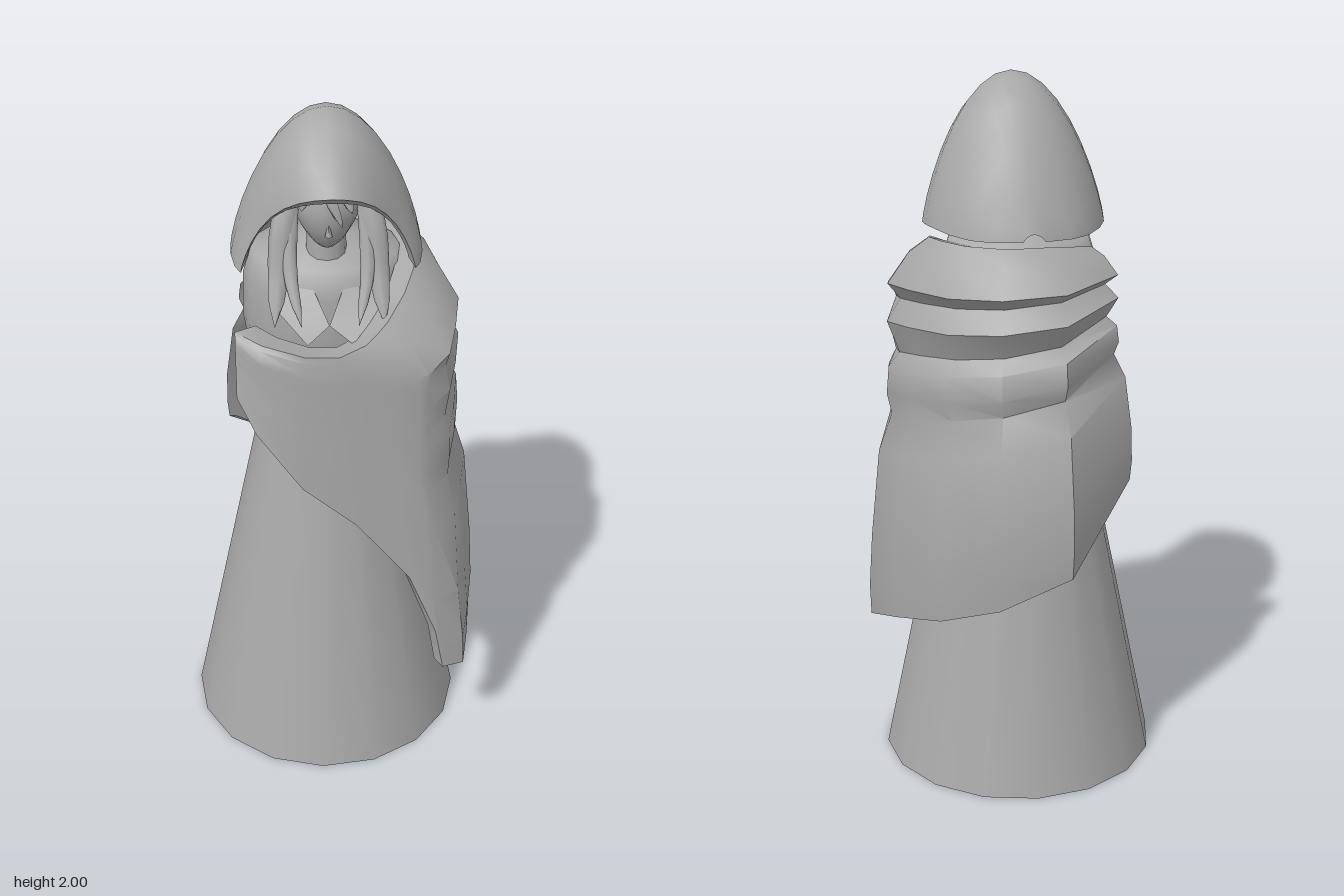
import * as THREE from 'three';
import { toCreasedNormals } from 'three/addons/utils/BufferGeometryUtils.js';

const CX = -0.02; // body axis

// Skin a grid of points (rows of equal length) into a surface.
function sheet(rows, crease) {
  const n = rows[0].length, pos = [], idx = [];
  rows.forEach(r => r.forEach(p => pos.push(...p)));
  for (let i = 0; i < rows.length - 1; i++) {
    for (let j = 0; j < n - 1; j++) {
      const a = i * n + j, b = a + n;
      idx.push(a, b, a + 1, a + 1, b, b + 1);
    }
  }
  const g = new THREE.BufferGeometry();
  g.setAttribute('position', new THREE.Float32BufferAttribute(pos, 3));
  g.setIndex(idx);
  g.computeVertexNormals();
  return toCreasedNormals(g, crease);
}

// Tapered flat lock of hair along a curve.
function lock(points, width, depth) {
  const curve = new THREE.CatmullRomCurve3(points.map(p => new THREE.Vector3(...p)));
  const rows = [];
  for (let i = 0; i <= 7; i++) {
    const t = i / 7, c = curve.getPoint(t), s = Math.pow(1 - t, 0.6) * (0.55 + 0.9 * t) + 0.01;
    const ring = [];
    for (let j = 0; j <= 8; j++) {
      const a = j / 8 * Math.PI * 2;
      ring.push([c.x + Math.cos(a) * width * s, c.y, c.z + Math.sin(a) * depth * s]);
    }
    rows.push(ring);
  }
  return sheet(rows, 1.3);
}

export function createModel() {
  const model = new THREE.Group();
  const grey = new THREE.MeshStandardMaterial({ color: 0xa8a8a8, side: THREE.DoubleSide });
  grey.name = 'plain grey';
  const add = (name, geo, x = 0, y = 0, z = 0) => {
    const m = new THREE.Mesh(geo, grey);
    m.name = name;
    m.position.set(x, y, z);
    model.add(m);
    return m;
  };

  // Long skirt and upper body
  add('skirt', new THREE.CylinderGeometry(0.192, 0.4, 1.01, 16, 1, false, -0.07), CX, 0.505, 0);
  const torsoProfile = [[0.185, 0.99], [0.19, 1.06], [0.205, 1.2], [0.228, 1.35], [0.225, 1.48], [0.2, 1.56], [0.05, 1.6]];
  add('torso', new THREE.LatheGeometry(torsoProfile.map(p => new THREE.Vector2(...p)), 16), CX).scale.z = 0.82;

  // Cloak columns, from the back end round the left side to the front end:
  // top xyz, bottom xyz, depth of the folds
  const columns = [
    [-0.18, 1.56, -0.19, -0.30, 0.88, -0.20, 1],
    [-0.07, 1.57, -0.22, -0.09, 0.67, -0.385, 1],
    [0.06, 1.57, -0.22, 0.11, 0.58, -0.36, 1],
    [0.16, 1.57, -0.16, 0.26, 0.52, -0.26, 1],
    [0.215, 1.57, -0.08, 0.36, 0.46, -0.08, 0.85],
    [0.23, 1.56, 0.02, 0.41, 0.395, 0.10, 0.65],
    [0.21, 1.54, 0.12, 0.39, 0.36, 0.23, 0.4],
    [0.18, 1.51, 0.20, 0.37, 0.33, 0.325, 0.2],
    [0.13, 1.47, 0.28, 0.305, 0.345, 0.36, 0.1],
    [0.10, 1.45, 0.31, 0.28, 0.48, 0.36, 0],
    [0.07, 1.43, 0.33, 0.20, 0.68, 0.36, 0],
    [0.00, 1.41, 0.355, 0.05, 0.87, 0.36, 0],
    [-0.09, 1.41, 0.35, -0.10, 1.00, 0.36, 0],
    [-0.20, 1.425, 0.31, -0.22, 1.17, 0.345, 0],
    [-0.27, 1.44, 0.26, -0.27, 1.26, 0.30, 0]
  ];
  // Rows: drop along the column, spread outwards, extra spread where folded
  const folds = [[0, 0, 0], [0.04, 0.3, 0], [0.12, 0.62, 0], [0.155, 0.63, -0.3], [0.215, 0.64, 0],
    [0.29, 0.64, -0.27], [0.33, 0.66, -0.04], [0.4, 0.67, 0], [0.45, 0.68, -0.12], [0.55, 0.76, 0.08],
    [0.78, 0.84, 0.18], [0.92, 0.96, 0.08], [1, 1, 0]];
  const inward = ([x, y, z], k, dy) => [CX + (x - CX) * k, y + dy, z * k];
  const cloakRows = folds.map(([t, spread, fold]) =>
    columns.map(([x0, y0, z0, x1, y1, z1, depth]) => {
      const f = spread + fold * depth;
      return [x0 + (x1 - x0) * f, y0 + (y1 - y0) * t, z0 + (z1 - z0) * f];
    }));
  cloakRows.unshift(cloakRows[0].map(p => inward(p, 0.78, -0.015))); // rolled collar
  cloakRows.push(cloakRows[cloakRows.length - 1].map(p => inward(p, 0.93, 0.01))); // turned hem
  add('cloak', sheet(cloakRows, 0.7));

  // Hood arches from the brim lining to the back:
  // ridge z, ridge y, base z, base y, half width, how sharply the ridge juts forward
  const arches = [
    [0.25, 1.80, 0.13, 1.58, 0.215, 3],
    [0.31, 1.84, 0.175, 1.57, 0.23, 3],
    [0.25, 1.905, 0.15, 1.575, 0.245, 2.2],
    [0.18, 1.97, 0.10, 1.585, 0.255, 1.6],
    [0.10, 2.00, 0.04, 1.59, 0.255, 1],
    [0.04, 1.985, -0.02, 1.59, 0.24, 1],
    [-0.03, 1.93, -0.08, 1.585, 0.212, 1],
    [-0.10, 1.82, -0.14, 1.58, 0.165, 1],
    [-0.16, 1.70, -0.18, 1.58, 0.11, 1],
    [-0.195, 1.60, -0.198, 1.58, 0.03, 1]
  ];
  add('hood', sheet(arches.map(([rz, ry, bz, by, hw, jut]) => {
    const arch = [];
    for (let j = 0; j <= 18; j++) {
      const a = (j / 18 - 0.5) * Math.PI;
      const h = Math.pow(Math.max(0, Math.cos(a)), 1.55);
      arch.push([CX + hw * Math.sin(a), by + (ry - by) * h, bz + (rz - bz) * Math.pow(h, jut)]);
    }
    return arch;
  }), 0.9));

  // Head, nose and neck
  const head = new THREE.SphereGeometry(1, 18, 14);
  const hp = head.attributes.position;
  for (let i = 0; i < hp.count; i++) {
    const taper = hp.getY(i) < 0 ? 1 + 0.35 * hp.getY(i) : 1; // narrow the jaw
    hp.setX(i, hp.getX(i) * taper);
  }
  head.scale(0.095, 0.135, 0.11);
  head.computeVertexNormals();
  add('head', head, CX, 1.74, 0.09);
  add('nose', new THREE.ConeGeometry(0.01, 0.045, 4), CX, 1.7, 0.193);
  add('neck', new THREE.CylinderGeometry(0.05, 0.06, 0.2, 12), CX, 1.57, 0.07);

  // Collar and side hair, mirrored
  for (const s of [1, -1]) {
    const side = s > 0 ? 'left' : 'right';
    const at = (x, y, z) => [CX + s * x, y, z];
    add(side + 'Collar', sheet([
      [at(0.06, 1.58, 0.06), at(0.05, 1.53, 0.15), at(0, 1.44, 0.24)],
      [at(0.15, 1.55, 0.06), at(0.14, 1.47, 0.2), at(0.06, 1.41, 0.29)]
    ], 0.6));
    add(side + 'LongLock', lock([at(0.09, 1.8, 0.13), at(0.118, 1.7, 0.165), at(0.13, 1.58, 0.19), at(0.145, 1.45, 0.26)], 0.048, 0.028));
    add(side + 'InnerLock', lock([at(0.09, 1.78, 0.14), at(0.1, 1.68, 0.17), at(0.1, 1.57, 0.21), at(0.075, 1.46, 0.28)], 0.03, 0.02));
  }

  // Fringe
  [[-0.06, -0.07, 1.76], [0, 0.035, 1.71], [0.04, 0.06, 1.75]].forEach(([x0, x1, y], i) =>
    add('fringe' + (i + 1), lock([[CX + x0 * 0.6, 1.85, 0.15], [CX + x0, 1.8, 0.19], [CX + x1, y, 0.21]], 0.024, 0.012)));

  return model;
}
